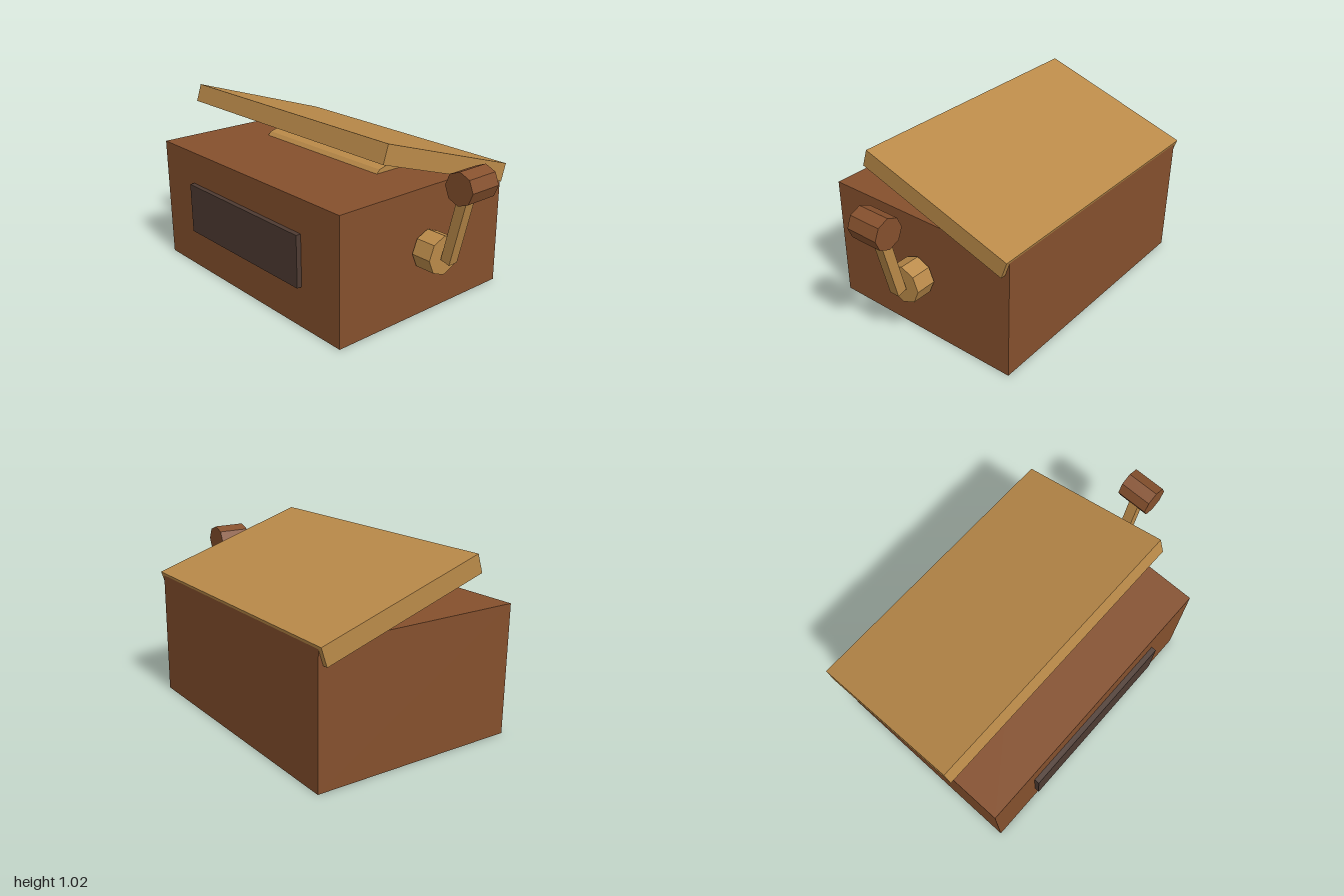
import * as THREE from 'three';

const material = (color) => new THREE.MeshStandardMaterial({ color, flatShading: true });

export function createModel() {
  const model = new THREE.Group();
  const brown = material(0x85502d);
  const tan = material(0xba8a49);
  const dark = material(0x4e3b32);

  const add = (name, geometry, mat, x, y, z) => {
    const mesh = new THREE.Mesh(geometry, mat);
    mesh.name = name;
    mesh.position.set(x, y, z);
    model.add(mesh);
    return mesh;
  };
  const box = (w, h, d) => new THREE.BoxGeometry(w, h, d);
  const cylinder = (r, length, sides) => new THREE.CylinderGeometry(r, r, length, sides);

  // Case and its front plate
  add('body', box(1.59, 0.72, 1.19), brown, -0.175, 0.36, -0.01);
  add('frontPanel', box(0.995, 0.295, 0.05), dark, -0.173, 0.383, 0.589);

  // Half-open lid, hinged along the back
  const lid = add('lid', box(1.65, 0.104, 0.96), tan, -0.175, 0.82, -0.138);
  lid.rotation.x = -0.316;

  // Drum showing just above the top of the case
  const drum = add('drum', cylinder(0.18, 0.97, 12), tan, -0.175, 0.585, -0.06);
  drum.rotation.z = Math.PI / 2;

  // Crank: hub on the side, leaning arm and grip
  const hub = add('crankHub', cylinder(0.11, 0.12, 8), tan, 0.695, 0.38, -0.01);
  hub.rotation.z = Math.PI / 2;

  const arm = add('crankArm', box(0.06, 0.45, 0.06), tan, 0.842, 0.578, -0.01);
  arm.rotation.z = -0.245;

  const grip = add('crankGrip', cylinder(0.088, 0.19, 8), brown, 0.911, 0.808, -0.01);
  grip.rotation.x = Math.PI / 2;

  return model;
}
